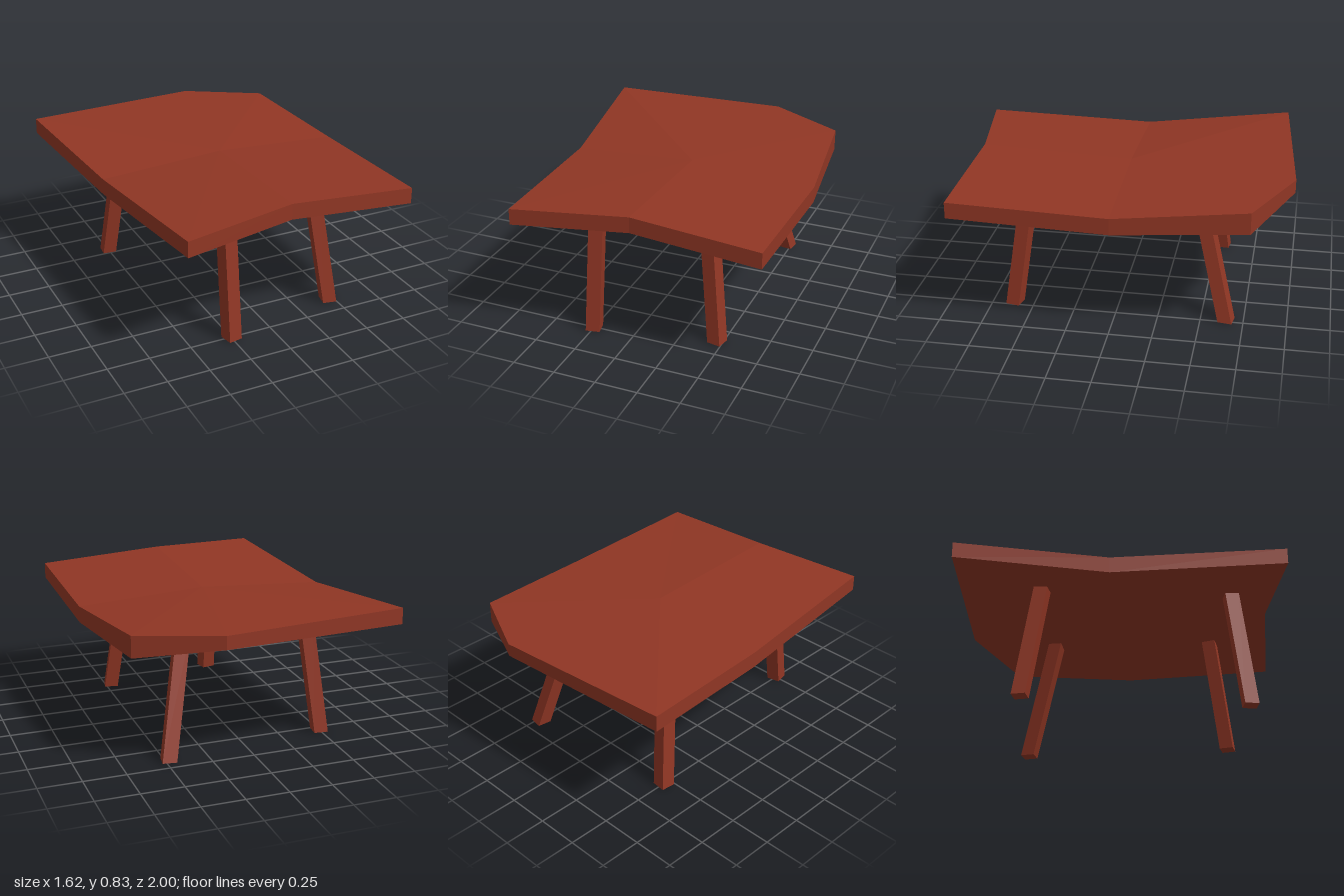
import * as THREE from 'three';

const wood = new THREE.MeshStandardMaterial({ color: 0x903624 });
wood.name = 'red brown wood';

// Bent slab: rim corners as [x, z, top height, bottom height], fanned around a middle point
function slabGeometry() {
  const rim = [
    [-0.815, -0.91, 0.835, 0.74],
    [0.265, -1.0, 0.823, 0.745],
    [0.72, -0.78, 0.807, 0.68],
    [0.81, -0.02, 0.757, 0.66],
    [0.81, 0.9, 0.785, 0.69],
    [0.05, 0.88, 0.835, 0.74],
    [-0.62, 0.995, 0.81, 0.715],
    [-0.7, -0.02, 0.757, 0.66],
  ];
  const middle = [0.05, -0.02, 0.8, 0.705];
  const top = (p) => [p[0], p[2], p[1]];
  const bottom = (p) => [p[0], p[3], p[1]];
  const corners = [];
  rim.forEach((a, i) => {
    const b = rim[(i + 1) % rim.length];
    corners.push(top(middle), top(b), top(a));
    corners.push(bottom(middle), bottom(a), bottom(b));
    corners.push(top(a), top(b), bottom(b), top(a), bottom(b), bottom(a));
  });
  const geometry = new THREE.BufferGeometry();
  geometry.setAttribute('position', new THREE.Float32BufferAttribute(corners.flat(), 3));
  geometry.computeVertexNormals();
  return geometry;
}

// Square leg, turned a little and sheared so both ends stay level
function legGeometry(foot, head, turn) {
  const height = 0.73;
  const geometry = new THREE.BoxGeometry(0.083, height, 0.083);
  geometry.rotateY(turn);
  geometry.translate(0, height / 2, 0);
  const p = geometry.attributes.position;
  for (let i = 0; i < p.count; i++) {
    const t = p.getY(i) / 0.68;
    p.setX(i, p.getX(i) + foot[0] + (head[0] - foot[0]) * t);
    p.setZ(i, p.getZ(i) + foot[1] + (head[1] - foot[1]) * t);
  }
  geometry.computeVertexNormals();
  return geometry;
}

export function createModel() {
  const model = new THREE.Group();
  model.name = 'crookedTable';
  const add = (name, geometry) => {
    const mesh = new THREE.Mesh(geometry, wood);
    mesh.name = name;
    model.add(mesh);
  };

  add('tableTop', slabGeometry());

  // Legs: foot [x, z], position under the slab [x, z], turn
  const legs = [
    ['frontRightLeg', [-0.248, 0.755], [-0.245, 0.672], 0.2],
    ['frontLeftLeg', [0.465, 0.617], [0.38, 0.53], -0.2],
    ['backRightLeg', [-0.5, -0.545], [-0.428, -0.455], -0.1],
    ['backLeftLeg', [0.478, -0.65], [0.335, -0.475], -0.15],
  ];
  for (const [name, foot, head, turn] of legs) add(name, legGeometry(foot, head, turn));

  return model;
}
